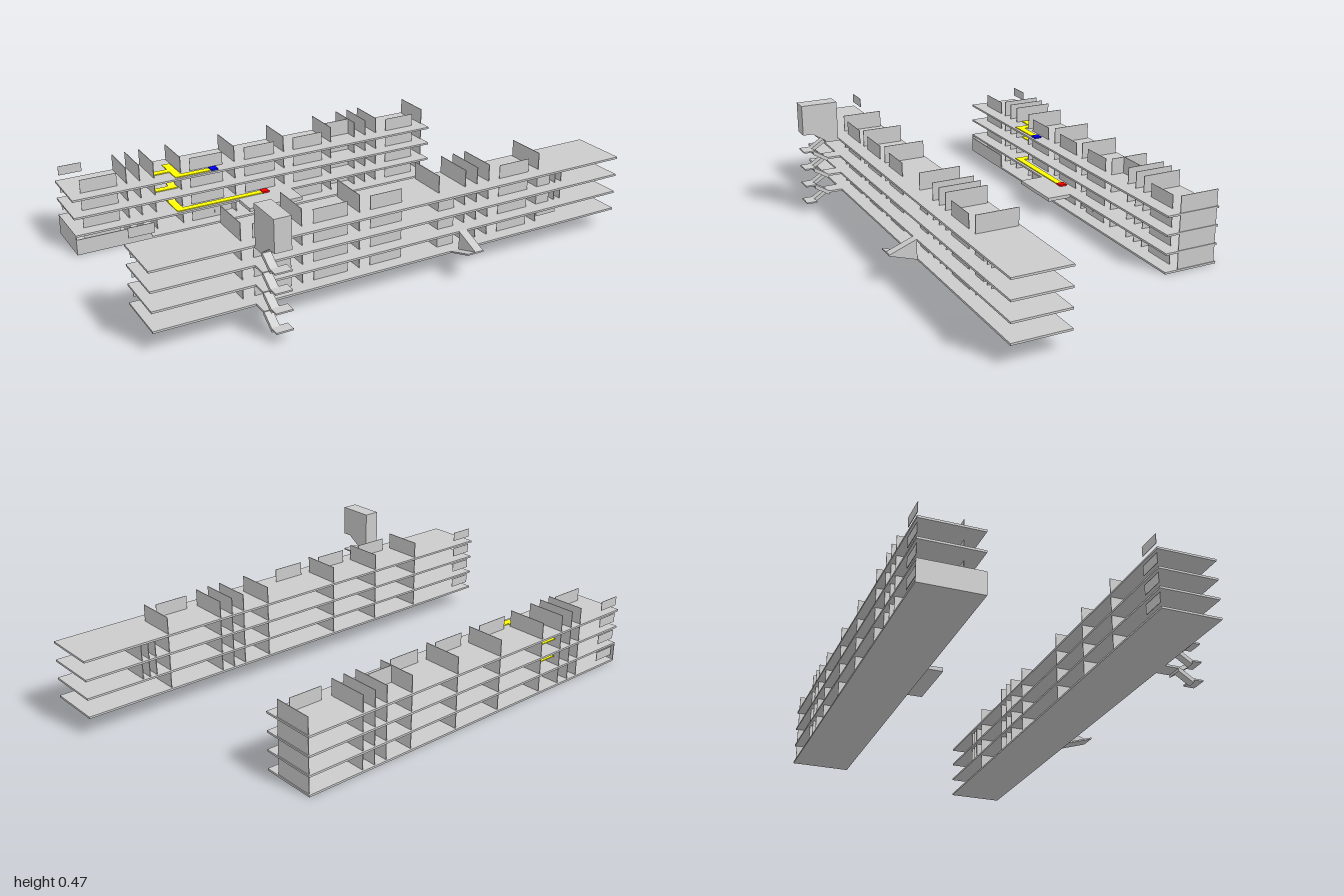
import * as THREE from 'three';

const mat = (color) => new THREE.MeshStandardMaterial({ color, flatShading: true });
const grey = mat(0xcccccc), yellow = mat(0xffff00), blue = mat(0x0000ff), red = mat(0xff0000);

// Box given by its limits on each axis
function block(parent, name, x0, x1, y0, y1, z0, z1, material = grey) {
  const m = new THREE.Mesh(new THREE.BoxGeometry(x1 - x0, y1 - y0, z1 - z0), material);
  m.position.set((x0 + x1) / 2, (y0 + y1) / 2, (z0 + z1) / 2);
  m.name = name;
  parent.add(m);
}

// Side profile in (z, y), extruded from x0 to x1
function profile(parent, name, x0, x1, points, material = grey) {
  const shape = new THREE.Shape(points.map(([z, y]) => new THREE.Vector2(z, y)));
  const geo = new THREE.ExtrudeGeometry(shape, { depth: x1 - x0, bevelEnabled: false });
  const m = new THREE.Mesh(geo, material);
  m.rotation.y = -Math.PI / 2;
  m.position.x = x1;
  m.name = name;
  parent.add(m);
}

// Sloping strip between two (z, y) points
function flight(parent, name, x0, x1, [za, ya], [zb, yb], t, material) {
  profile(parent, name, x0, x1, [[za, ya], [zb, yb], [zb, yb - t], [za, ya - t]], material);
}

// Stacked floors with cross walls, window panels and door plates
function building(o) {
  const g = new THREE.Group();
  g.name = o.name;
  o.floors.forEach((y, i) => {
    block(g, 'floorSlab', -1, o.xEnd, y - 0.008, y, o.z0, o.z1);
    for (const x of o.walls) block(g, 'crossWall', x - 0.0015, x + 0.0015, y, y + 0.068, o.wz0, o.wz1);
    for (const [x0, x1] of o.panels) block(g, 'windowPanel', x0, x1, y, y + 0.055, o.wz1 - 0.002, o.wz1);
    block(g, 'endPlate', -0.985, -0.89, y + 0.022, y + 0.06, o.wz0 - 0.002, o.wz0);
    o.extra?.(g, y, i);
  });
  return g;
}

export function createModel() {
  const model = new THREE.Group();
  model.name = 'twinBlocks';

  // Front block
  const front = building({
    name: 'frontBlock', xEnd: 1, z0: 0.227, z1: 0.455, wz0: 0.235, wz1: 0.4,
    floors: [0.085, 0.16, 0.235, 0.31],
    walls: [-0.645, -0.41, -0.175, 0.17, 0.29, 0.345, 0.4, 0.64],
    panels: [[-0.6, -0.455], [-0.365, -0.225], [-0.13, 0.005], [0.45, 0.59]],
    extra(g, y, i) {
      if (i === 1 || i === 2) {
        for (const x of [0.7, 0.73, 0.76]) block(g, 'crossWall', x - 0.0015, x + 0.0015, y, y + 0.068, 0.235, 0.4);
        block(g, 'windowPanel', 0.64, 0.7, y, y + 0.055, 0.398, 0.4);
      }
      if (i < 3) block(g, 'windowPanel', 0.17, 0.24, y, y + 0.055, 0.398, 0.4);
      if (i === 0) block(g, 'doorPlate', 0.645, 0.74, y + 0.02, y + 0.058, 0.398, 0.4);
    },
  });
  model.add(front);

  // Rear block
  const rear = building({
    name: 'rearBlock', xEnd: 0.645, z0: -0.61, z1: -0.38, wz0: -0.603, wz1: -0.437,
    floors: [0.009, 0.085, 0.16, 0.235],
    walls: [-0.76, -0.705, -0.645, -0.53, -0.29, -0.06, 0.17, 0.29, 0.345, 0.4, 0.64],
    panels: [[-0.95, -0.8], [-0.49, -0.345], [-0.245, -0.105], [-0.015, 0.125], [0.45, 0.59]],
    extra(g, y) {
      block(g, 'partition', 0.17, 0.29, y, y + 0.068, -0.496, -0.493);
    },
  });
  block(rear, 'endWall', -1, -0.996, 0.009, 0.078, -0.61, -0.38);
  block(rear, 'lowerFrontWall', -1, -0.69, 0.009, 0.066, -0.384, -0.38);
  block(rear, 'entrancePlatform', -0.3, -0.055, 0.07, 0.085, -0.38, -0.277);
  block(rear, 'doorPlate', -0.39, -0.31, 0.025, 0.058, -0.437, -0.435);
  block(rear, 'doorPlate', -0.05, 0.04, 0.028, 0.066, -0.437, -0.435);
  model.add(rear);

  // Outside stair with a covered head
  const stair = new THREE.Group();
  stair.name = 'outsideStair';
  for (const y of [0.085, 0.16, 0.235, 0.31]) {
    block(stair, 'floorLanding', -0.62, -0.555, y - 0.008, y, 0.45, 0.515);
    block(stair, 'halfLanding', -0.62, -0.555, y - 0.044, y - 0.038, 0.565, 0.61);
    flight(stair, 'upperFlight', -0.62, -0.588, [0.57, y - 0.038], [0.51, y], 0.018);
    if (y < 0.3) flight(stair, 'lowerFlight', -0.588, -0.555, [0.51, y], [0.57, y + 0.037], 0.018);
  }
  profile(stair, 'stairHead', -0.62, -0.555,
    [[0.61, 0.47], [0.46, 0.47], [0.46, 0.31], [0.515, 0.31], [0.57, 0.345], [0.61, 0.345]]);
  model.add(stair);

  // Short two-flight stair
  const small = new THREE.Group();
  small.name = 'shortStair';
  flight(small, 'lowerFlight', 0.195, 0.265, [0.455, 0.085], [0.565, 0.12], 0.006);
  profile(small, 'upperFlight', 0.23, 0.265, [[0.455, 0.085], [0.565, 0.118], [0.455, 0.16]]);
  model.add(small);

  // Marked walking route through the rear block
  const route = new THREE.Group();
  route.name = 'route';
  for (const [y, end, endMat] of [[0.085, -0.17, red], [0.235, -0.4, blue]]) {
    block(route, 'routeStrip', -0.57, end, y, y + 0.004, -0.42, -0.392, yellow);
    block(route, 'routeStrip', -0.57, -0.537, y, y + 0.004, -0.545, -0.392, yellow);
    block(route, 'routeEnd', end - 0.016, end + 0.016, y, y + 0.007, -0.422, -0.39, endMat);
  }
  for (const y of [0.085, 0.16]) {
    flight(route, 'routeFlight', -0.57, -0.537, [-0.49, y + 0.004], [-0.55, y + 0.04], 0.005, yellow);
    block(route, 'routeLanding', -0.635, -0.537, y + 0.036, y + 0.04, -0.583, -0.55, yellow);
    flight(route, 'routeFlight', -0.635, -0.602, [-0.55, y + 0.04], [-0.49, y + 0.077], 0.005, yellow);
    block(route, 'routeLanding', -0.635, -0.537, y + 0.075, y + 0.079, -0.49, -0.46, yellow);
  }
  model.add(route);

  return model;
}
